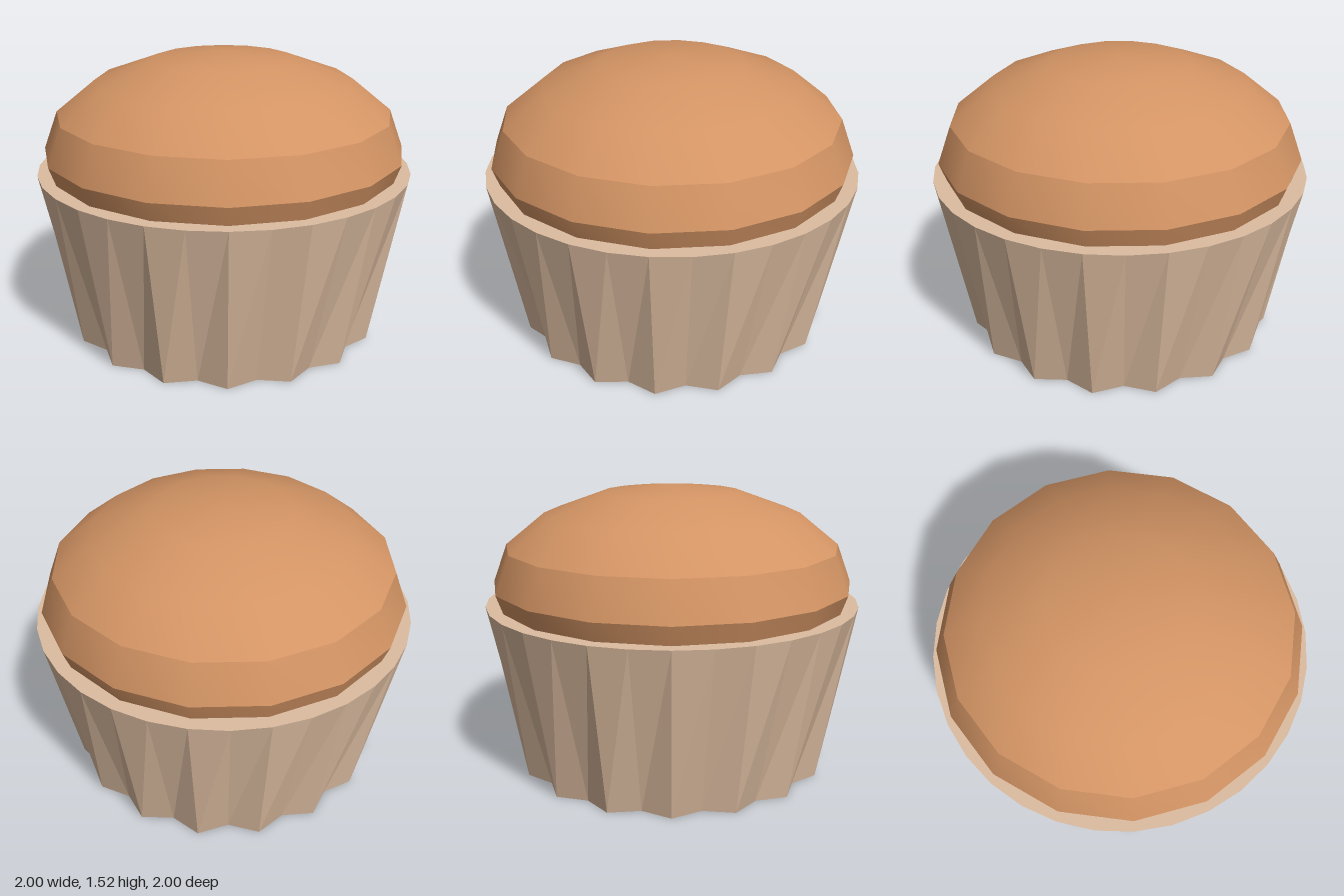
import * as THREE from 'three';
import { toCreasedNormals } from 'three/addons/utils/BufferGeometryUtils.js';

const PLEATS = 16;

// Pleated paper cup: round at the rim, folded in and out at the base
function cupGeometry(rimRadius, outerRadius, innerRadius, height) {
  const geo = new THREE.CylinderGeometry(rimRadius, outerRadius, height, PLEATS * 2);
  geo.translate(0, height / 2, 0);
  const pos = geo.attributes.position;
  for (let i = 0; i < pos.count; i++) {
    const x = pos.getX(i), z = pos.getZ(i);
    if (pos.getY(i) > height / 2 || Math.hypot(x, z) < 0.01) continue;
    const fold = Math.round(Math.atan2(x, z) / (Math.PI / PLEATS));
    const s = fold % 2 === 0 ? 1 : innerRadius / outerRadius;
    pos.setX(i, x * s);
    pos.setZ(i, z * s);
  }
  const flat = geo.toNonIndexed();
  flat.computeVertexNormals();
  return flat;
}

// Flattened low-poly ball with a crease around its widest ring
function domeGeometry(radius, height) {
  const geo = new THREE.SphereGeometry(1, 16, 8);
  geo.scale(radius, height, radius);
  return toCreasedNormals(geo, Math.PI / 6);
}

export function createModel() {
  const paper = new THREE.MeshStandardMaterial({ color: 0xdcbca0 });
  paper.name = 'beige paper';
  const crust = new THREE.MeshStandardMaterial({ color: 0xd39464 });
  crust.name = 'golden brown crust';

  const model = new THREE.Group();
  model.name = 'muffin';

  const cup = new THREE.Mesh(cupGeometry(1, 0.83, 0.76, 0.9), paper);
  cup.name = 'paperCup';
  model.add(cup);

  const dome = new THREE.Mesh(domeGeometry(0.965, 0.525), crust);
  dome.name = 'muffinTop';
  dome.position.y = 1;
  model.add(dome);

  return model;
}
